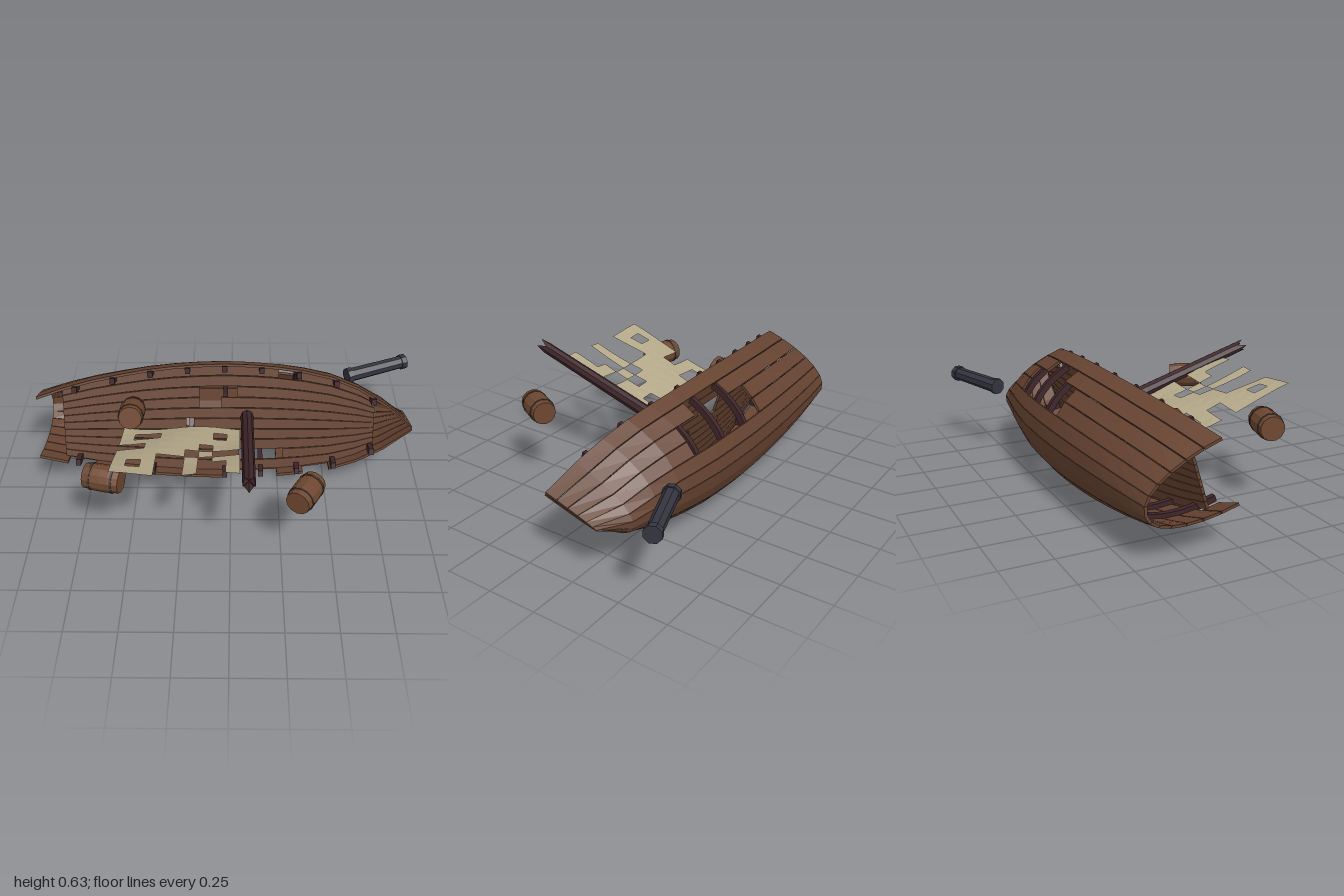
import * as THREE from 'three';

const mat = (name, color, extra = {}) =>
  Object.assign(new THREE.MeshStandardMaterial({ color, flatShading: true, ...extra }), { name });

// Hull lines at evenly spaced stations: half breadth and keel height
const X0 = -1, X1 = 0.94;
const BREADTH = [.167, .209, .243, .268, .29, .305, .314, .318, .314, .304, .286, .258, .205, .125, .01];
const KEEL = [.077, .058, .042, .029, .018, .01, .005, .003, .007, .014, .03, .051, .077, .101, .188];
const N = BREADTH.length - 1;
const stationX = i => X0 + (X1 - X0) * i / N;

function sample(table, x) {
  const f = THREE.MathUtils.clamp((x - X0) / (X1 - X0) * N, 0, N);
  const i = Math.min(Math.floor(f), N - 1);
  return THREE.MathUtils.lerp(table[i], table[i + 1], f - i);
}
const sheer = x => 0.395 + 0.105 * x * x;

// Point on the hull shell: t runs from 0 at the keel to PI/2 at the rail
function shellPoint(x, side, t, inset) {
  const keel = sample(KEEL, x) + inset, w = Math.max(sample(BREADTH, x) - inset, 0.002);
  return new THREE.Vector3(x, keel + (sheer(x) - keel) * (1 - Math.cos(t)),
    side * w * Math.pow(Math.sin(Math.min(t, Math.PI / 2)), 0.92));
}

// Solid through a row of four-cornered cross-sections
function loft(rings, material, name) {
  const tris = [];
  const quad = (a, b, c, d) => tris.push([a, b, c], [a, c, d]);
  for (let i = 0; i + 1 < rings.length; i++)
    for (let k = 0; k < 4; k++) {
      const m = (k + 1) % 4;
      quad(rings[i][k], rings[i][m], rings[i + 1][m], rings[i + 1][k]);
    }
  const a = rings[0], b = rings[rings.length - 1];
  quad(a[3], a[2], a[1], a[0]);
  quad(b[0], b[1], b[2], b[3]);
  // turn the faces outward whichever side the part is on
  const volume = tris.reduce((s, [p, q, r]) => s + p.dot(q.clone().cross(r)), 0);
  const pts = tris.flatMap(([p, q, r]) => volume < 0 ? [p, r, q] : [p, q, r]);
  const g = new THREE.BufferGeometry().setFromPoints(pts);
  g.computeVertexNormals();
  const mesh = new THREE.Mesh(g, material);
  mesh.name = name;
  return mesh;
}

// Intervals left over between the holes
function intervals(a, b, holes) {
  const out = [];
  for (const [h0, h1] of holes) {
    if (h0 > a + 0.01) out.push([a, h0]);
    a = Math.max(a, h1);
  }
  if (b > a + 0.01) out.push([a, b]);
  return out;
}

function plankRun(a, b, section, material, name) {
  const xs = [a];
  for (let i = 0; i <= N; i++) if (stationX(i) > a + 0.005 && stationX(i) < b - 0.005) xs.push(stationX(i));
  xs.push(b);
  return loft(xs.map(section), material, name);
}

export function createModel() {
  const wood = mat('hull wood', 0x664331);
  const dark = mat('dark timber', 0x3d2529);
  const iron = mat('iron', 0x34353f);
  const cloth = mat('sail cloth', 0xb3a788, { side: THREE.DoubleSide });
  const cask = mat('barrel wood', 0x6e4630);
  const band = mat('barrel hoop', 0x4a4238);

  const model = new THREE.Group();
  model.name = 'shipwreck';
  const ship = new THREE.Group();
  ship.name = 'ship';
  ship.rotation.x = 1.271;
  ship.position.set(0, 0.213, -0.53);
  model.add(ship);

  // Hull strakes, with the stove-in gaps for each side
  const ROWS = 7;
  const gaps = {
    '-1': { 3: [[-.168, .386]], 4: [[-.168, .386]], 5: [[-.03, .247]] },
    '1': { 2: [[-.03, .386]], 3: [[-.03, .386]], 4: [[-.03, .247]], 6: [[-.861, -.723], [-.03, .247], [.386, .523]] },
  };
  for (const side of [-1, 1])
    for (let r = 0; r < ROWS; r++) {
      const step = Math.PI / 2 / ROWS;
      const t0 = r * step + (r ? 0.006 : 0), t1 = (r + 1) * step - 0.006;
      for (const [a, b] of intervals(X0, X1, gaps[side][r] || []))
        ship.add(plankRun(a, b, x => [shellPoint(x, side, t0, 0), shellPoint(x, side, t1, 0),
          shellPoint(x, side, t1, 0.014), shellPoint(x, side, t0, 0.014)], wood, 'hullPlank'));
    }

  // Ribs
  for (let i = 0; i < 9; i++) {
    const x = -0.805 + i * 0.193, h = 0.013;
    const rings = [];
    for (let k = -10; k <= 10; k++) {
      const side = k < 0 ? -1 : 1, t = Math.abs(k) / 10 * 1.62;
      const o = shellPoint(x, side, t, 0.009), n = shellPoint(x, side, t, 0.04);
      const at = (p, dx) => new THREE.Vector3(x + dx, p.y, p.z);
      rings.push([at(o, -h), at(o, h), at(n, h), at(n, -h)]);
    }
    ship.add(loft(rings, dark, 'rib'));
  }

  // Deck planks following the plan of the hull, some broken away
  const DECK = 10;
  const deckGaps = { 1: [[.04, .28]], 4: [[-.24, -.2]], 6: [[-.168, -.05]], 7: [[-.168, .03]], 9: [[.25, .37]] };
  const deckPoint = (x, f, drop) => {
    const y = sheer(x) - 0.065, k = sample(KEEL, x) + 0.016;
    const t = Math.acos(1 - (y - k) / (sheer(x) - k));
    return new THREE.Vector3(x, y - drop, -f * shellPoint(x, 1, t, 0.016).z);
  };
  for (let r = 0; r < DECK; r++) {
    const f0 = -1 + 2 * r / DECK + 0.008, f1 = -1 + 2 * (r + 1) / DECK - 0.008;
    for (const [a, b] of intervals(-0.88, 0.755, deckGaps[r] || []))
      ship.add(plankRun(a, b, x => [deckPoint(x, f0, 0), deckPoint(x, f1, 0),
        deckPoint(x, f1, 0.014), deckPoint(x, f0, 0.014)], wood, 'deckPlank'));
  }

  // Broken mast with a jagged top
  const mastGeo = new THREE.CylinderGeometry(0.03, 0.034, 0.94, 8, 1);
  const mp = mastGeo.attributes.position;
  for (let i = 0; i < mp.count; i++)
    if (mp.getY(i) > 0.4) {
      const rim = Math.hypot(mp.getX(i), mp.getZ(i)) > 0.01;
      const k = Math.round(Math.atan2(mp.getZ(i), mp.getX(i)) / (Math.PI / 4));
      mp.setY(i, 0.47 + (!rim ? -0.03 : k % 2 ? -0.015 : 0.035));
    }
  const mast = new THREE.Mesh(mastGeo, dark);
  mast.name = 'mast';
  mast.position.set(0.085, 0.785, -0.013);
  ship.add(mast);

  // Torn sail: # marks cloth that is left
  const rows = ['#########', '#..####.#', '#########', '..####.##', '#####.#..', '###..#.##', '#.#..#..#', '###..#..#'];
  const pts = [];
  const sailPoint = (c, r) => new THREE.Vector3(-0.552 + c * 0.0665, 0.502 + r * 0.0785, 0.01 * Math.sin(c * 0.8 + r * 0.6) - 0.004);
  rows.forEach((row, r) => [...row].forEach((ch, c) => {
    if (ch !== '#') return;
    const a = sailPoint(c, r), b = sailPoint(c + 1, r), d = sailPoint(c + 1, r + 1), e = sailPoint(c, r + 1);
    pts.push(a, b, d, a, d, e);
  }));
  const sailGeo = new THREE.BufferGeometry().setFromPoints(pts);
  sailGeo.computeVertexNormals();
  const sail = new THREE.Mesh(sailGeo, cloth);
  sail.name = 'tornSail';
  ship.add(sail);

  // Loose barrels: position and heading of the axis
  const profile = [[0, -.09], [.06, -.09], [.066, -.04], [.067, 0], [.066, .04], [.06, .09], [0, .09]].map(p => new THREE.Vector2(...p));
  const barrelGeo = new THREE.LatheGeometry(profile, 12);
  const hoopGeo = new THREE.CylinderGeometry(0.0675, 0.0675, 0.01, 12);
  for (const [x, y, z, dx, dy, dz] of [[-.605, .395, .39, .97, 0, .25], [.355, .395, .49, -.48, 0, .87], [-.515, .42, -.11, 0, .29, .96]]) {
    const barrel = new THREE.Group();
    barrel.name = 'barrel';
    const body = new THREE.Mesh(barrelGeo, cask);
    body.name = 'barrelBody';
    barrel.add(body);
    for (const h of [-.055, .055]) {
      const hoop = new THREE.Mesh(hoopGeo, band);
      hoop.name = 'barrelHoop';
      hoop.position.y = h;
      barrel.add(hoop);
    }
    barrel.position.set(x, y, z);
    barrel.quaternion.setFromUnitVectors(new THREE.Vector3(0, 1, 0), new THREE.Vector3(dx, dy, dz).normalize());
    model.add(barrel);
  }

  // Loose cannon
  const cannon = new THREE.Group();
  cannon.name = 'cannon';
  for (const [name, r0, r1, len, y] of [['cannonBarrel', .036, .039, .34, 0], ['cannonMuzzle', .043, .043, .03, .17], ['cannonBreech', .044, .044, .03, -.165]]) {
    const part = new THREE.Mesh(new THREE.CylinderGeometry(r0, r1, len, 8), iron);
    part.name = name;
    part.position.y = y;
    cannon.add(part);
  }
  cannon.position.set(0.81, 0.386, -0.595);
  cannon.quaternion.setFromUnitVectors(new THREE.Vector3(0, 1, 0), new THREE.Vector3(0.33, 0.015, -0.13).normalize());
  model.add(cannon);
  return model;
}
